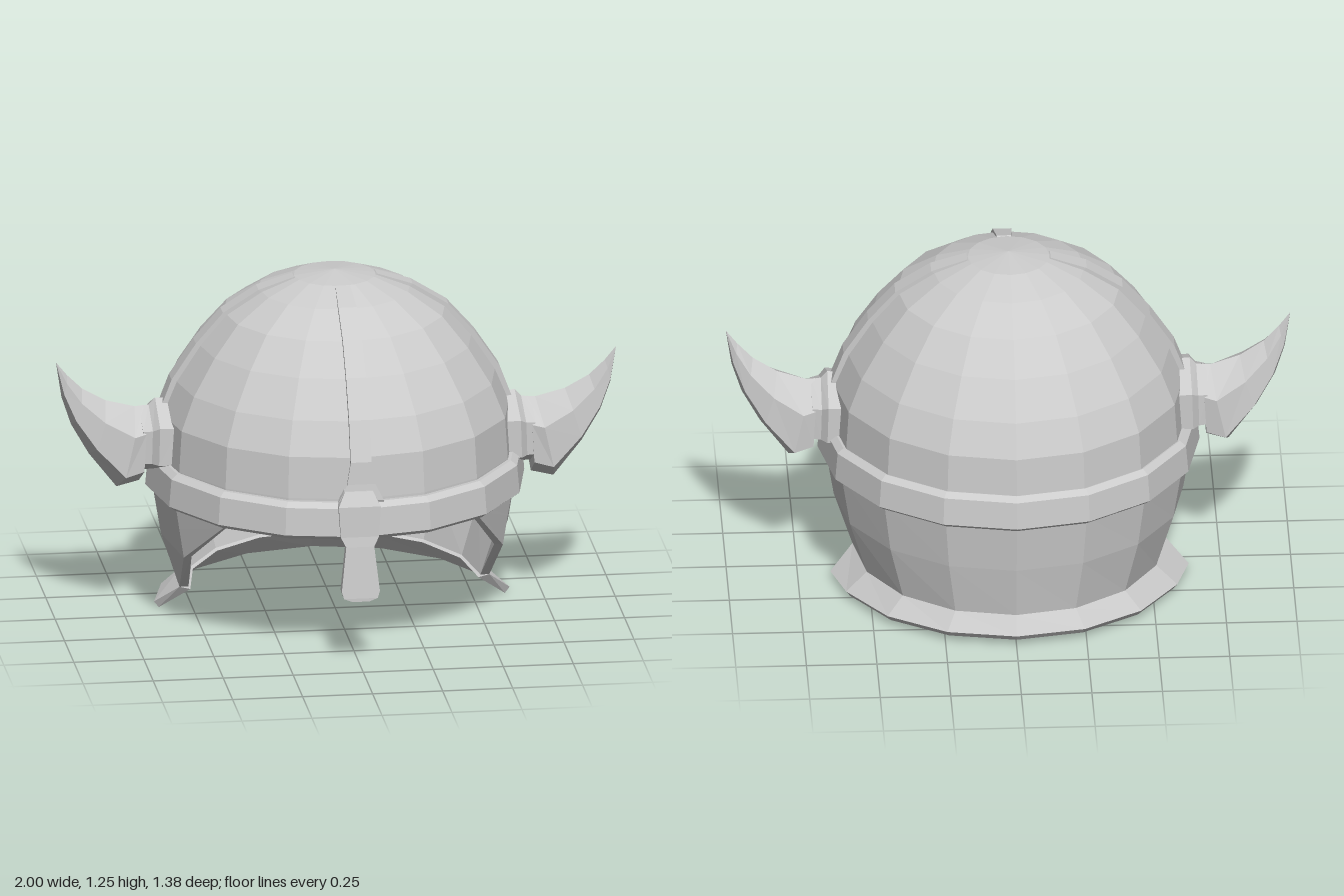
import * as THREE from 'three';

const material = new THREE.MeshStandardMaterial({ color: 0xcccccc, flatShading: true });
const SIDES = 16;
const CZ = -0.02; // centre of the shell along z
const { lerp, smoothstep } = THREE.MathUtils;

function addMesh(parent, name, geometry) {
  const mesh = new THREE.Mesh(geometry, material);
  mesh.name = name;
  parent.add(mesh);
  return mesh;
}

// Skins a closed solid over a row of equal-length cross-section loops of [x, y, z]
function skin(loops) {
  const tris = [];
  const n = loops[0].length;
  for (let i = 0; i < loops.length - 1; i++) {
    for (let j = 0; j < n; j++) {
      const k = (j + 1) % n;
      const [a, b, c, d] = [loops[i][j], loops[i][k], loops[i + 1][k], loops[i + 1][j]];
      tris.push([a, b, c], [a, c, d]);
    }
  }
  const first = loops[0], last = loops[loops.length - 1];
  for (let j = 1; j < n - 1; j++) {
    tris.push([first[0], first[j + 1], first[j]], [last[0], last[j], last[j + 1]]);
  }
  // Signed volume decides the winding, so mirrored parts also face outward
  let volume = 0;
  const v = (p) => new THREE.Vector3(...p);
  for (const [a, b, c] of tris) volume += v(a).dot(v(b).cross(v(c)));
  const corners = tris.map((t) => (volume < 0 ? [t[0], t[2], t[1]] : t));
  const geometry = new THREE.BufferGeometry();
  geometry.setAttribute('position', new THREE.Float32BufferAttribute(corners.flat(2), 3));
  geometry.computeVertexNormals();
  return geometry;
}

const lathe = (points) =>
  new THREE.LatheGeometry(points.map(([r, y]) => new THREE.Vector2(r, y)), SIDES);

// Dome outline, from rim to crown
const DOME = [
  [0.635, 0.5], [0.635, 0.6], [0.625, 0.75], [0.575, 0.87], [0.49, 1.0],
  [0.395, 1.11], [0.27, 1.19], [0.145, 1.237], [0, 1.255],
];

// Raised rib following the dome, widening towards the band
function ribGeometry() {
  const path = [[0.64, 0.59], [0.632, 0.65], [0.627, 0.73], ...DOME.slice(3, 8)];
  return skin(path.map(([r, y], i) => {
    const w = [0.08, 0.05, 0.037, 0.036, 0.035, 0.034, 0.033, 0.026][i];
    const up = i === path.length - 1 ? 0.002 : 0.008;
    const R = r * 1.02;
    return [[-w, y + up, R], [w, y + up, R], [w, y - 0.03, r - 0.04], [-w, y - 0.03, r - 0.04]];
  }));
}

// Radii of the neck guard at a height
function neckRadii(y) {
  if (y > 0.27) {
    const t = (y - 0.27) / 0.21;
    return [lerp(0.615, 0.65, t), lerp(0.62, 0.645, t)];
  }
  const t = (y - 0.1) / 0.17;
  return [lerp(0.555, 0.615, t), lerp(0.59, 0.62, t)];
}

function neckPoint(a, y, inset) {
  const [rx, rz] = neckRadii(y);
  return [Math.sin(a) * (rx - inset), y, CZ + Math.cos(a) * (rz - inset)];
}

const backness = (a) => Math.max(0, -Math.cos(a));

// Neck guard, cut away towards the face
function neckGeometry() {
  const loops = [];
  for (let i = 2; i <= SIDES - 2; i++) {
    const a = (i / SIDES) * Math.PI * 2;
    const fromFront = Math.min(i, SIDES - i);
    const cut = fromFront === 2 ? 0.455 : fromFront === 3 ? 0.28 : 0.095 + 0.015 * backness(a);
    const mid = Math.max(0.27, (cut + 0.5) / 2);
    loops.push([
      ...[0.5, mid, cut].map((y) => neckPoint(a, y, 0)),
      ...[cut, mid, 0.5].map((y) => neckPoint(a, y, 0.032)),
    ]);
  }
  return skin(loops);
}

// Flared lip along the lower edge of the neck guard
function flareGeometry() {
  const loops = [];
  for (let i = 4; i <= SIDES - 4; i++) {
    const a = (i / SIDES) * Math.PI * 2;
    const lift = 0.025 * backness(a);
    const top = 0.095 + 0.015 * backness(a);
    const slant = i === 4 || i === SIDES - 4 ? -0.07 : 0;
    const lip = (r, y) => [Math.sin(a) * r, y + lift, CZ + Math.cos(a) * r + slant];
    loops.push([
      neckPoint(a, top, 0), lip(0.635, 0.022), lip(0.618, 0), neckPoint(a, top - 0.01, 0.035),
    ]);
  }
  return skin(loops);
}

// Six-sided rings, each given by its upper and lower point and half width
function ringGeometry(side, rings) {
  const dy = -0.012 * side;
  return skin(rings.map(([ux, uy, lx, ly, w, z = -0.01]) => {
    const at = (t, s) => [side * lerp(ux, lx, t), lerp(uy, ly, t) + dy, z + s * w];
    return [at(0, 0), at(0.25, 1), at(0.75, 1), at(1, 0), at(0.75, -1), at(0.25, -1)];
  }));
}

export function createModel() {
  const helmet = new THREE.Group();
  helmet.name = 'hornedHelmet';

  // Dome with an inner lining
  const lining = DOME.map(([r, y]) => [r * 0.95, 0.5 + (y - 0.5) * 0.95]).reverse();
  addMesh(helmet, 'dome', lathe([...lining, ...DOME])).position.z = CZ;

  // Brow band, slightly lower at the front
  const band = addMesh(helmet, 'browBand', lathe([
    [0.615, 0.6], [0.615, 0.468], [0.655, 0.468], [0.677, 0.485],
    [0.668, 0.585], [0.645, 0.602], [0.615, 0.6],
  ]));
  band.position.z = CZ;
  band.rotation.x = 0.015;

  // Ribs at the front and both sides
  const rib = ribGeometry();
  for (const [name, turn] of [['frontRib', 0], ['leftRib', 1], ['rightRib', -1]]) {
    const mesh = addMesh(helmet, name, rib);
    mesh.rotation.y = turn * Math.PI / 2;
    mesh.position.set(turn === 0 ? 0.01 : 0, 0, CZ);
  }

  // Nose guard: height, half width, back z, front z
  addMesh(helmet, 'noseGuard', skin([
    [0.635, 0.05, 0.59, 0.634], [0.585, 0.075, 0.61, 0.66], [0.475, 0.068, 0.62, 0.664],
    [0.44, 0.05, 0.638, 0.67], [0.28, 0.068, 0.652, 0.687], [0.255, 0.06, 0.653, 0.69],
    [0.243, 0.03, 0.655, 0.69],
  ].map(([y, w, back, front]) => [[-w, y, back], [-w, y, front], [w, y, front], [w, y, back]])));

  addMesh(helmet, 'neckGuard', neckGeometry());
  addMesh(helmet, 'neckFlare', flareGeometry());

  // Horns in their sockets
  for (const [label, side] of [['left', 1], ['right', -1]]) {
    addMesh(helmet, label + 'HornSocket', ringGeometry(side, [
      [0.58, 0.79, 0.58, 0.52, 0.15], [0.642, 0.795, 0.65, 0.52, 0.155],
      [0.665, 0.77, 0.672, 0.53, 0.13], [0.7, 0.765, 0.7, 0.53, 0.12],
    ]));
    addMesh(helmet, label + 'Horn', ringGeometry(side, [
      [0.685, 0.768, 0.7, 0.49, 0.125], [0.715, 0.765, 0.78, 0.47, 0.14],
      [0.82, 0.795, 0.88, 0.6, 0.115, 0], [0.905, 0.845, 0.945, 0.715, 0.075, 0.01],
      [0.96, 0.9, 0.98, 0.82, 0.04, 0.018], [1, 0.95, 1, 0.95, 0, 0.022],
    ]));
  }
  return helmet;
}
